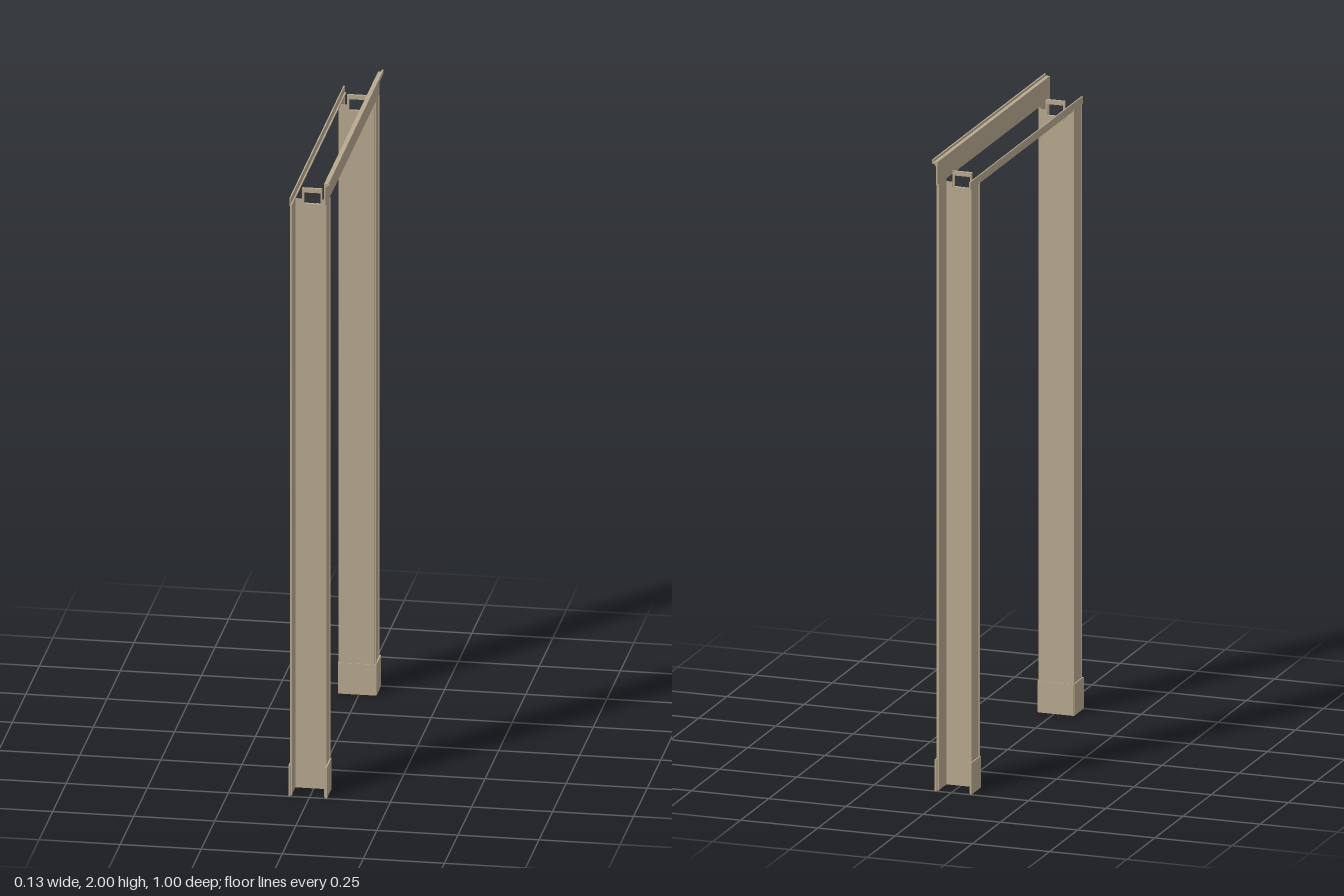
import * as THREE from 'three';

export function createModel() {
  const model = new THREE.Group();
  model.name = 'doorFrame';
  const tan = new THREE.MeshStandardMaterial({ color: 0xb8a88f, side: THREE.DoubleSide });
  tan.name = 'tanPaint';

  // Box given by its limits on each axis
  function box(name, parent, x0, x1, y0, y1, z0, z1) {
    const mesh = new THREE.Mesh(new THREE.BoxGeometry(x1 - x0, y1 - y0, z1 - z0), tan);
    mesh.position.set((x0 + x1) / 2, (y0 + y1) / 2, (z0 + z1) / 2);
    mesh.name = name;
    parent.add(mesh);
  }

  // Outline in x and y, extruded from z0 to z1
  function profile(name, parent, points, z0, z1, hole) {
    const toPoints = (list) => list.map(([x, y]) => new THREE.Vector2(x, y));
    const shape = new THREE.Shape(toPoints(points));
    if (hole) shape.holes.push(new THREE.Path(toPoints(hole)));
    const geometry = new THREE.ExtrudeGeometry(shape, { depth: z1 - z0, bevelEnabled: false });
    geometry.translate(0, 0, z0);
    const mesh = new THREE.Mesh(geometry, tan);
    mesh.name = name;
    parent.add(mesh);
  }

  // Two mirrored posts
  for (const side of [1, -1]) {
    const post = new THREE.Group();
    post.name = side > 0 ? 'frontPost' : 'backPost';
    model.add(post);
    const span = (a, b) => (side > 0 ? [a, b] : [-b, -a]);

    // Jamb board, notched at the top
    profile('jamb', post, [
      [-0.057, 0], [0.047, 0], [0.047, 1.91], [0.025, 1.91], [0.025, 1.895],
      [-0.035, 1.895], [-0.035, 1.91], [-0.057, 1.91],
    ], ...span(0.415, 0.419));

    // Top bracket: an open ring on the inner face of the jamb
    profile('topBracket', post,
      [[-0.036, 1.886], [0.026, 1.886], [0.026, 1.945], [-0.036, 1.945]],
      ...span(0.41, 0.418),
      [[-0.03, 1.895], [0.02, 1.895], [0.02, 1.931], [-0.03, 1.931]]);
    for (const x of [-0.025, 0.012]) {
      box('bracketTab', post, x - 0.007, x + 0.007, 1.88, 1.895, ...span(0.408, 0.417));
    }

    // Casings with a raised bead and a returned outer edge
    box('leftCasing', post, 0.045, 0.049, 0, 1.92, ...span(0.418, 0.49));
    box('leftCasingBead', post, 0.045, 0.052, 0, 1.92, ...span(0.418, 0.424));
    box('leftCasingEdge', post, 0.043, 0.051, 0, 1.92, ...span(0.486, 0.49));
    box('rightCasing', post, -0.061, -0.057, 0, 1.92, ...span(0.418, 0.49));
    box('rightCasingBead', post, -0.063, -0.057, 0, 1.92, ...span(0.418, 0.424));
    box('rightCasingEdge', post, -0.062, -0.055, 0, 1.92, ...span(0.486, 0.49));

    // Plinth wrapped around the foot
    box('leftPlinth', post, 0.048, 0.054, 0, 0.1, ...span(0.415, 0.5));
    box('rightPlinth', post, -0.065, -0.06, 0, 0.1, ...span(0.415, 0.5));
    box('innerPlinth', post, -0.062, 0.051, 0, 0.1, ...span(0.413, 0.416));
  }

  // Header board with a flared cornice
  profile('header', model, [
    [0.045, 1.92], [0.049, 1.92], [0.049, 1.975], [0.053, 1.985],
    [0.062, 1.988], [0.062, 2], [0.057, 2], [0.057, 1.993],
    [0.045, 1.993],
  ], -0.5, 0.5);

  // Narrow rail joining the casings on the other side
  profile('rail', model, [
    [-0.062, 1.915], [-0.054, 1.915], [-0.054, 1.92], [-0.058, 1.92],
    [-0.058, 1.94], [-0.062, 1.94],
  ], -0.5, 0.5);

  return model;
}
